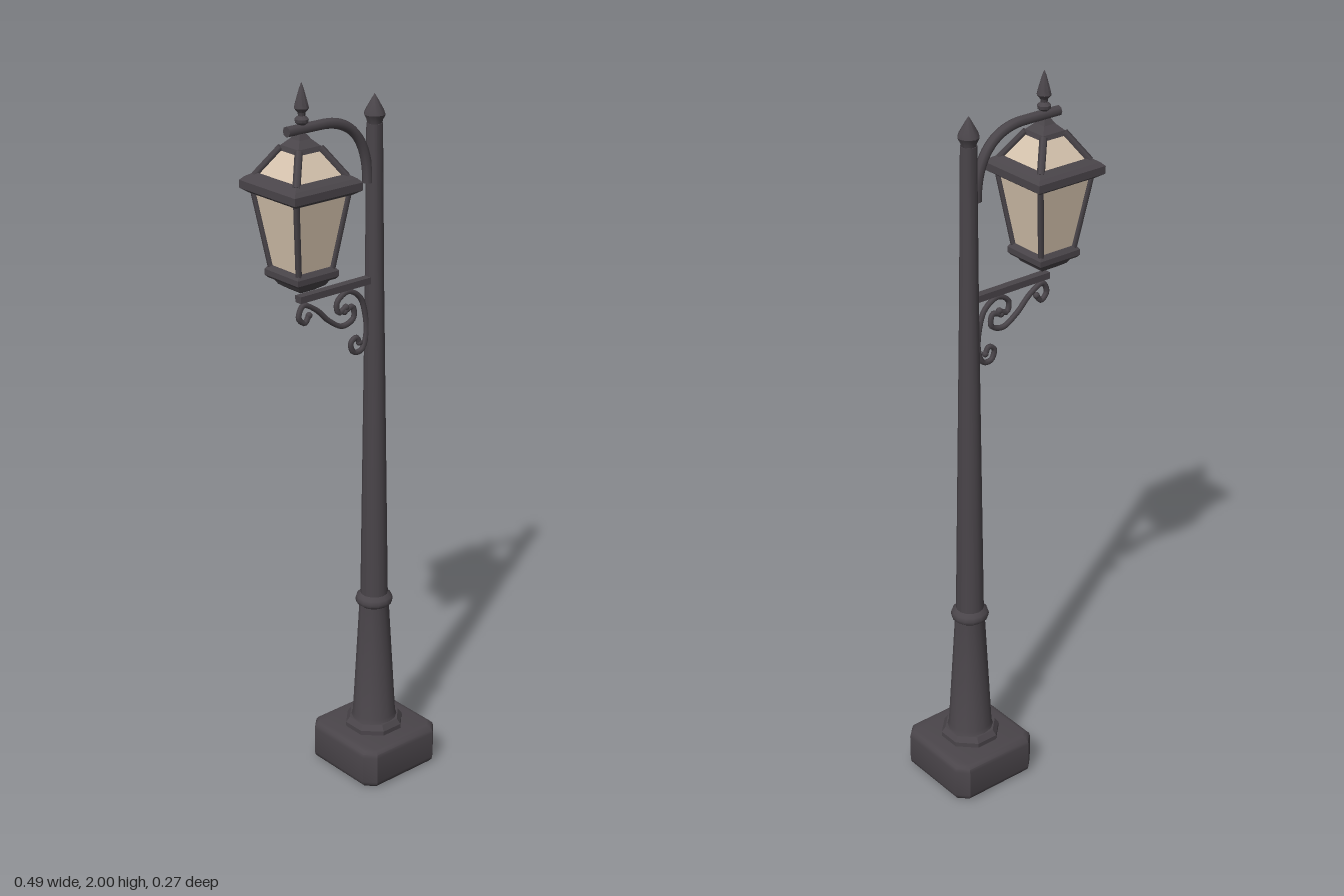
import * as THREE from 'three';
import { toCreasedNormals } from 'three/addons/utils/BufferGeometryUtils.js';

export function createModel() {
  const iron = new THREE.MeshStandardMaterial({ color: 0x4a454a });
  iron.name = 'dark iron';
  const pane = new THREE.MeshStandardMaterial({ color: 0xd8c6b0 });
  pane.name = 'cream glass';

  const model = new THREE.Group();
  model.name = 'streetLamp';
  const add = (parent, name, geometry, material = iron) => {
    const mesh = new THREE.Mesh(geometry, material);
    mesh.name = name;
    parent.add(mesh);
    return mesh;
  };
  // Turned part from [radius, height] pairs
  const turned = (profile, sides, crease = 0.7, start = 0) => toCreasedNormals(
    new THREE.LatheGeometry(profile.map(([r, y]) => new THREE.Vector2(r, y)), sides, start), crease);
  // Square part from [half width, height] pairs
  const square = (profile) => turned(profile.map(([h, y]) => [h * Math.SQRT2, y]), 4, 0.2, Math.PI / 4);
  // Straight bar between two points
  const bar = (a, b, r, sides = 6) => {
    const dir = b.clone().sub(a);
    const g = new THREE.CylinderGeometry(r, r, dir.length(), sides);
    g.applyQuaternion(new THREE.Quaternion().setFromUnitVectors(new THREE.Vector3(0, 1, 0), dir.normalize()));
    const mid = a.clone().add(b).multiplyScalar(0.5);
    return g.translate(mid.x, mid.y, mid.z);
  };

  // Base block with clipped corners and softened edges
  const h = 0.115, c = 0.018;
  const outline = new THREE.Shape([
    [-h + c, -h], [h - c, -h], [h, -h + c], [h, h - c], [h - c, h], [-h + c, h], [-h, h - c], [-h, -h + c],
  ].map(([x, y]) => new THREE.Vector2(x, y)));
  const block = new THREE.ExtrudeGeometry(outline, {
    depth: 0.077, bevelThickness: 0.02, bevelSize: 0.018, bevelSegments: 3,
  });
  block.rotateX(-Math.PI / 2).translate(0.115, 0.02, 0);
  add(model, 'base', toCreasedNormals(block, 0.7));

  // Post with a very slight lean
  const post = new THREE.Group();
  post.name = 'post';
  model.add(post);
  const lean = (g) => {
    const p = g.attributes.position;
    for (let i = 0; i < p.count; i++) p.setX(i, p.getX(i) + 0.115 - 0.0065 * p.getY(i));
    return g;
  };
  add(post, 'octagonCollar', lean(turned(
    [[0, 0.11], [0.083, 0.11], [0.083, 0.13], [0.072, 0.145], [0, 0.145]], 8, 0.3, Math.PI / 8)));
  add(post, 'shaft', lean(turned([
    [0.066, 0.14], [0.06, 0.155], [0.041, 0.5], [0.05, 0.507], [0.052, 0.516], [0.049, 0.526],
    [0.038, 0.535], [0.025, 1.44], [0.021, 1.86], [0, 1.86]], 14)));
  add(post, 'postFinial', lean(turned(
    [[0.018, 1.85], [0.021, 1.868], [0.028, 1.882], [0.025, 1.892], [0.008, 1.922], [0, 1.935]], 10)));

  // Overhead arm
  const armPath = new THREE.CurvePath();
  const v = (x, y, z = 0) => new THREE.Vector3(x, y, z);
  armPath.add(new THREE.LineCurve3(v(-0.182, 1.885), v(-0.07, 1.885)));
  armPath.add(new THREE.CubicBezierCurve3(v(-0.07, 1.885), v(0.02, 1.885), v(0.08, 1.83), v(0.08, 1.71)));
  add(model, 'arm', new THREE.TubeGeometry(armPath, 32, 0.0135, 8));
  add(model, 'armTipCap', new THREE.CircleGeometry(0.0135, 8).rotateY(-Math.PI / 2).translate(-0.182, 1.885, 0));
  add(model, 'armFootCap', new THREE.CircleGeometry(0.0135, 8).rotateX(Math.PI / 2).translate(0.08, 1.71, 0));

  // Lower bracket with scrollwork
  const bracket = new THREE.Group();
  bracket.name = 'bracket';
  model.add(bracket);
  add(bracket, 'bracketBar', new THREE.BoxGeometry(0.245, 0.018, 0.022).translate(-0.028, 1.45, 0));
  const scrolls = {
    longScroll: [[-0.115, 1.4], [-0.13, 1.382], [-0.149, 1.4], [-0.135, 1.43], [-0.093, 1.41], [-0.05, 1.37],
      [-0.003, 1.344], [0.034, 1.358], [0.03, 1.39], [0.003, 1.382]],
    postScroll: [[0.008, 1.393], [-0.017, 1.383], [-0.022, 1.412], [0.013, 1.434], [0.055, 1.41], [0.074, 1.358],
      [0.077, 1.3], [0.061, 1.263], [0.034, 1.263], [0.025, 1.29], [0.043, 1.302], [0.054, 1.285]],
  };
  for (const [name, points] of Object.entries(scrolls)) {
    const curve = new THREE.CatmullRomCurve3(points.map(([x, y]) => v(x, y)));
    add(bracket, name, new THREE.TubeGeometry(curve, 64, 0.0075, 6));
    for (const [x, y] of [points[0], points[points.length - 1]]) {
      add(bracket, name + 'Tip', new THREE.SphereGeometry(0.009, 8, 6).translate(x, y, 0));
    }
  }

  // Lantern
  const lantern = new THREE.Group();
  lantern.name = 'lantern';
  lantern.position.x = -0.138;
  model.add(lantern);
  add(lantern, 'bodyGlass', square([[0.053, 1.53], [0.084, 1.735]]), pane);
  add(lantern, 'roofGlass', square([[0.08, 1.768], [0.035, 1.838]]), pane);
  add(lantern, 'eaves', square(
    [[0.08, 1.72], [0.092, 1.724], [0.108, 1.735], [0.108, 1.755], [0.098, 1.765], [0.08, 1.776], [0.07, 1.772]]));
  add(lantern, 'lowerRim', square(
    [[0, 1.505], [0.06, 1.505], [0.066, 1.512], [0.066, 1.527], [0.058, 1.538], [0, 1.538]]));
  add(lantern, 'lowerCup', square([[0, 1.472], [0.022, 1.475], [0.042, 1.488], [0.054, 1.508]]));
  add(lantern, 'roofCap', square(
    [[0.034, 1.825], [0.039, 1.831], [0.035, 1.845], [0.018, 1.862], [0.01, 1.875], [0, 1.875]]));
  for (const sx of [-1, 1]) {
    for (const sz of [-1, 1]) {
      add(lantern, 'bodyCornerBar', bar(v(0.054 * sx, 1.53, 0.054 * sz), v(0.084 * sx, 1.735, 0.084 * sz), 0.008));
      add(lantern, 'roofCornerBar', bar(v(0.08 * sx, 1.768, 0.08 * sz), v(0.034 * sx, 1.84, 0.034 * sz), 0.01));
    }
  }
  add(lantern, 'lanternFinial', turned([
    [0.009, 1.86], [0.009, 1.895], [0.017, 1.902], [0.018, 1.91], [0.009, 1.918], [0.01, 1.926],
    [0.019, 1.937], [0.016, 1.95], [0.006, 1.985], [0, 2]], 10).translate(0.004, 0, 0));

  return model;
}
